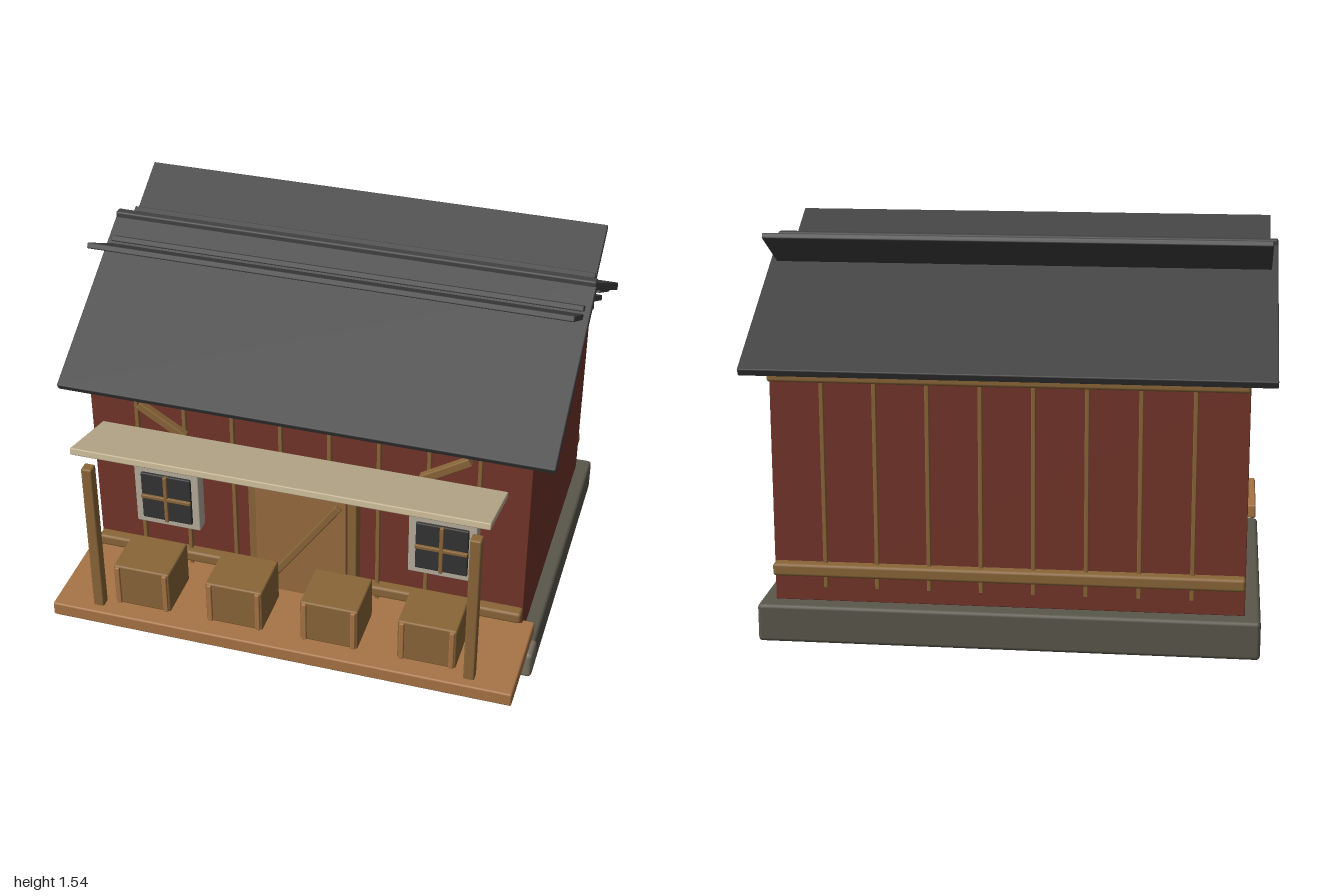
import * as THREE from 'three';
import { RoundedBoxGeometry } from 'three/addons/geometries/RoundedBoxGeometry.js';

const COLORS = {
  wall: 0x73352a, wood: 0x8a6638, plank: 0xa87446, door: 0x976b3f, roof: 0x424242,
  base: 0x5a574b, stone: 0x7a7263, trim: 0xb5ad9c, awning: 0xc0b190, glass: 0x333333, metal: 0x6b6b6b,
};
const mats = {};
for (const key in COLORS) mats[key] = new THREE.MeshStandardMaterial({ color: COLORS[key] });

export function createModel() {
  const model = new THREE.Group();
  model.name = 'cabin';

  // Softly bevelled box given by its limits on each axis
  function box(name, mat, [x0, x1], [y0, y1], [z0, z1], bevel = 0.005, parent = model) {
    const s = [x1 - x0, y1 - y0, z1 - z0];
    const r = Math.min(bevel, Math.min(...s) * 0.3);
    const mesh = new THREE.Mesh(new RoundedBoxGeometry(...s, 2, r), mats[mat]);
    mesh.position.set((x0 + x1) / 2, (y0 + y1) / 2, (z0 + z1) / 2);
    mesh.name = name;
    parent.add(mesh);
    return mesh;
  }

  // Wide board spanning x, tilted between two (z, y) points along its middle
  function slope(name, mat, halfWidth, [z0, y0], [z1, y1], thick, x = 0) {
    const len = Math.hypot(z1 - z0, y1 - y0);
    const mesh = box(name, mat, [x - halfWidth, x + halfWidth], [-thick / 2, thick / 2], [-len / 2, len / 2]);
    mesh.position.set(x, (y0 + y1) / 2, (z0 + z1) / 2);
    mesh.rotation.x = -Math.atan2(y1 - y0, z1 - z0);
    return mesh;
  }

  // Flat bar in a wall plane between two (x, y) points
  function diagonal(name, mat, [x0, y0], [x1, y1], width, [z0, z1]) {
    const len = Math.hypot(x1 - x0, y1 - y0);
    const mesh = box(name, mat, [-len / 2, len / 2], [-width / 2, width / 2], [z0, z1]);
    mesh.position.set((x0 + x1) / 2, (y0 + y1) / 2, (z0 + z1) / 2);
    mesh.rotation.z = Math.atan2(y1 - y0, x1 - x0);
  }

  // Foundation and front stones
  box('foundation', 'base', [-0.96, 0.96], [0, 0.15], [-0.827, 0.513], 0.015);
  for (let i = 0; i < 9; i++) {
    const x = -0.8 + i * 0.2086;
    box('foundationStone', 'stone', [x - 0.097, x + 0.097], [0.03, 0.15], [0.44, 0.55], 0.018);
  }

  // Walls
  box('walls', 'wall', [-0.9, 0.9], [0.152, 1.03], [-0.761, 0.457], 0.003);

  // Battens, rails and roof plates on both long walls (mirrored about the ridge line)
  const ridgeZ = -0.152;
  for (const side of [1, -1]) {
    const span = (a, b) => [ridgeZ + side * a, ridgeZ + side * b].sort((p, q) => p - q);
    for (let i = 0; i < 8; i++) {
      const x = -0.7 + i * 0.2;
      box('batten', 'wood', [x - 0.008, x + 0.008], [0.21, 1.03], span(0.6, 0.627), 0.003);
    }
    box('lowerRail', 'wood', [-0.9, 0.9], [0.26, 0.31], span(0.598, 0.655), 0.012);
    box('innerPlate', 'wood', [-0.9, 0.9], [1.025, 1.1], span(0.532, 0.648), 0.01);
    box('outerPlate', 'wood', [-0.9, 0.9], [1.022, 1.085], span(0.585, 0.656), 0.012);
  }

  // Door with frame and diagonal brace
  box('doorFrame', 'wood', [-0.226, 0.224], [0.155, 0.85], [0.45, 0.513]);
  box('doorLeaf', 'door', [-0.19, 0.187], [0.16, 0.8], [0.48, 0.532]);
  diagonal('doorBrace', 'wood', [-0.148, 0.27], [0.158, 0.71], 0.03, [0.53, 0.551]);

  // Windows with crossed glazing bars
  for (const x of [-0.575, 0.573]) {
    box('windowFrame', 'trim', [x - 0.137, x + 0.137], [0.44, 0.727], [0.45, 0.513]);
    box('windowPane', 'glass', [x - 0.106, x + 0.106], [0.472, 0.695], [0.49, 0.525]);
    box('windowBar', 'wood', [x - 0.008, x + 0.008], [0.472, 0.695], [0.515, 0.536], 0.003);
    box('windowBar', 'wood', [x - 0.106, x + 0.106], [0.576, 0.592], [0.515, 0.536], 0.003);
  }

  // Porch deck, posts, awning and its supports
  box('porchDeck', 'plank', [-0.952, 0.948], [0.17, 0.23], [0.433, 0.876], 0.008);
  slope('awning', 'awning', 0.823, [0.845, 0.995], [0.53, 0.911], 0.028);
  for (const s of [-1, 1]) {
    box('porchPost', 'wood', [s * 0.768 - 0.022, s * 0.768 + 0.022], [0.16, 0.91], [0.79, 0.836], 0.007);
    slope('awningStay', 'metal', 0.009, [0.785, 0.957], [0.583, 0.81], 0.018, s * 0.765);
    diagonal('wallBrace', 'wood', [s * 0.67, 1.025], [s * 0.48, 0.905], 0.035, [0.494, 0.527]);
  }

  // Crates on the porch
  for (const x of [-0.59, -0.2, 0.193, 0.589]) {
    const crate = new THREE.Group();
    crate.name = 'crate';
    model.add(crate);
    box('crateBody', 'wood', [x - 0.118, x + 0.118], [0.23, 0.42], [0.578, 0.795], 0.008, crate);
    for (const s of [-1, 1]) {
      const c = x + s * 0.1;
      box('crateSlat', 'plank', [c - 0.01, c + 0.01], [0.235, 0.415], [0.785, 0.805], 0.004, crate);
    }
  }

  // Roof slabs, each with four overlapping rows of long boards crossing at the ridge
  for (const side of [1, -1]) {
    const at = (d, y) => [ridgeZ + side * d, y];
    slope('roofSlab', 'roof', 0.997, at(0.7, 1.066), at(-0.008, 1.468), 0.032);
    for (let i = 0; i < 4; i++) {
      const d = 0.475 - i * 0.232, y = 1.174 + i * 0.0915;
      slope('roofBoard', 'roof', 0.972, at(d + 0.148, y - 0.082), at(d - 0.148, y + 0.082), 0.023);
    }
  }
  box('ridgeCap', 'roof', [-0.997, 0.997], [1.456, 1.494], [ridgeZ - 0.019, ridgeZ + 0.019], 0.008);
  box('ridgeBeam', 'roof', [-0.97, 0.97], [1.39, 1.445], [ridgeZ - 0.032, ridgeZ + 0.032], 0.01);

  return model;
}
